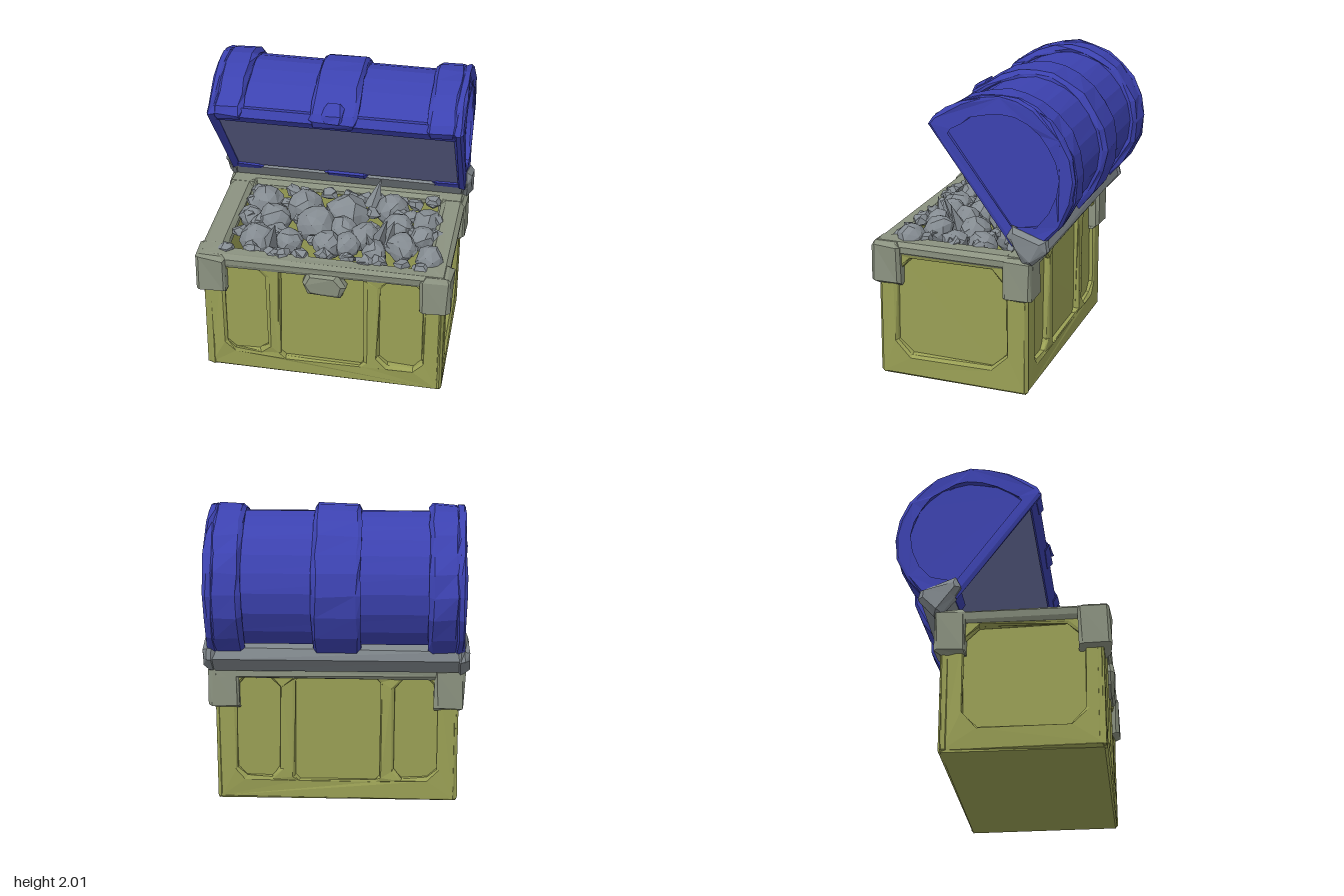
import * as THREE from 'three';

const paint = (color) => new THREE.MeshStandardMaterial({ color, flatShading: true, side: THREE.DoubleSide });

// Repeatable noise from a position, so touching corners move together
const noise = (x, y, z, k) => {
  const s = Math.sin(Math.round(x * 500) * 12.9898 + Math.round(y * 500) * 78.233 + Math.round(z * 500) * 37.719 + k * 4.1) * 43758.5453;
  return (s - Math.floor(s)) * 2 - 1;
};

// Roughens a geometry for the hand-hewn look
function chip(geo, amount) {
  const p = geo.attributes.position;
  for (let i = 0; i < p.count; i++) {
    const x = p.getX(i), y = p.getY(i), z = p.getZ(i);
    const dy = y < 0.01 ? 0 : noise(x, y, z, 2) * amount;
    p.setXYZ(i, x + noise(x, y, z, 1) * amount, y + dy, z + noise(x, y, z, 3) * amount);
  }
  geo.computeVertexNormals();
  return geo;
}

const toShape = (pts) => new THREE.Shape(pts.map(([x, y]) => new THREE.Vector2(x, y)));

function extrude(shape, depth, bevel) {
  const geo = new THREE.ExtrudeGeometry(shape, {
    depth: depth - 2 * bevel, bevelEnabled: bevel > 0, bevelThickness: bevel,
    bevelSize: bevel, bevelOffset: -bevel, bevelSegments: 1,
  });
  return geo.translate(0, 0, bevel);
}

// Rectangle outline with cut corners
const cutRect = (x0, y0, x1, y1, c) => [
  [x0 + c, y0], [x1 - c, y0], [x1, y0 + c], [x1, y1 - c],
  [x1 - c, y1], [x0 + c, y1], [x0, y1 - c], [x0, y0 + c],
];

function framed(outline, holes) {
  const shape = toShape(outline);
  shape.holes = holes.map(toShape);
  return shape;
}

export function createModel() {
  const model = new THREE.Group();
  const bodyMat = paint(0x9aa055), rimMat = paint(0x8b9280), floorMat = paint(0xb0b81c);
  const lidMat = paint(0x3c42b0), liningMat = paint(0x6a70a0), hingeMat = paint(0x80878c), lootMat = paint(0x858c92);

  const add = (parent, name, geo, mat, rough = 0.008) => {
    const mesh = new THREE.Mesh(chip(geo, rough), mat);
    mesh.name = name;
    parent.add(mesh);
  };

  // ---------- Chest body ----------
  const body = new THREE.Group();
  body.name = 'body';
  model.add(body);

  // Upright ring: outline in x and z, raised from y0 to y1
  const ring = (x, zBack, zFront, ix, izBack, izFront, y0, y1, bevel) =>
    extrude(framed(cutRect(-x, -zFront, x, -zBack, 0.03), [cutRect(-ix, -izFront, ix, -izBack, 0.03)]), y1 - y0, bevel)
      .rotateX(-Math.PI / 2).translate(0, y0, 0);

  add(body, 'innerWalls', ring(0.765, -0.34, 0.61, 0.69, -0.27, 0.55, 0.0, 0.9, 0), bodyMat, 0.003);
  add(body, 'rim', ring(0.83, -0.405, 0.68, 0.675, -0.27, 0.555, 0.86, 0.95, 0.025), rimMat);
  add(body, 'base', new THREE.BoxGeometry(1.56, 0.03, 0.98).translate(0, 0.015, 0.135), bodyMat, 0);
  add(body, 'floor', new THREE.BoxGeometry(1.4, 0.02, 0.84).translate(0, 0.04, 0.14), floorMat, 0);

  // Front and back frames, each with three sunken panels
  const longFrame = () => extrude(framed(cutRect(-0.805, 0, 0.805, 0.9, 0.015), [
    cutRect(-0.67, 0.16, -0.38, 0.86, 0.06),
    cutRect(-0.29, 0.14, 0.28, 0.87, 0.03),
    cutRect(0.38, 0.16, 0.67, 0.86, 0.06),
  ]), 0.06, 0.015);
  add(body, 'frontFrame', longFrame().translate(0, 0, 0.595), bodyMat);
  add(body, 'backFrame', longFrame().translate(0, 0, -0.38), bodyMat);

  // Corner cap that flares upward, with its outer corner towards +x and +z
  const cornerCap = () => {
    const geo = extrude(toShape(cutRect(-0.1, -0.1, 0.1, 0.1, 0.02)), 0.3, 0.025).rotateX(-Math.PI / 2);
    const p = geo.attributes.position;
    for (let i = 0; i < p.count; i++) {
      const inset = p.getY(i) < 0.01 ? 0.025 : 0;
      p.setX(i, p.getX(i) - inset);
      p.setZ(i, p.getZ(i) - inset);
    }
    return geo;
  };

  // Side frames, each with one sunken panel, and the corner caps beside them
  for (const s of [1, -1]) {
    const frame = extrude(framed(cutRect(-0.65, 0, 0.375, 0.9, 0.015),
      [cutRect(-0.53, 0.16, 0.23, 0.84, 0.1)]), 0.06, 0.015).rotateY(Math.PI / 2);
    add(body, s > 0 ? 'leftFrame' : 'rightFrame', frame.translate(s > 0 ? 0.75 : -0.81, 0, 0), bodyMat);
    const turns = s > 0 ? [0, Math.PI / 2] : [-Math.PI / 2, Math.PI];
    turns.forEach((turn, i) => add(body, 'cornerCap',
      cornerCap().rotateY(turn).translate(s * 0.748, 0.65, i === 0 ? 0.595 : -0.315), rimMat));
  }

  // Lock plate with a sloping underside
  const lock = extrude(toShape([[-0.13, 0.8], [-0.1, 0.71], [0.12, 0.7], [0.16, 0.8], [0.1, 0.89], [-0.1, 0.89]]), 0.09, 0.025);
  add(body, 'lock', lock.translate(0, 0, 0.595), rimMat);

  // ---------- Lid ----------
  const lid = new THREE.Group();
  lid.name = 'lid';
  model.add(lid);

  // Arc of the lid as [z, y], from the front lip over the top to the hinge
  const arc = [[0.27, 1.78], [0.24, 1.83], [0.15, 1.89], [0.05, 1.945], [-0.08, 1.985], [-0.2, 2.0], [-0.31, 1.98],
    [-0.42, 1.935], [-0.52, 1.86], [-0.6, 1.76], [-0.66, 1.64], [-0.69, 1.5], [-0.67, 1.35], [-0.6, 1.2], [-0.5, 1.08], [-0.28, 1.04]];
  const scaled = (pts, k, cz, cy) => pts.map(([z, y]) => [cz + (z - cz) * k, cy + (y - cy) * k]);
  const flip = (pts) => pts.map(([z, y]) => [-z, y]);
  // Extrudes a [z, y] outline from x0 to x1
  const across = (outline, x0, x1, bevel, holes = []) =>
    extrude(framed(flip(outline), holes.map(flip)), x1 - x0, bevel).rotateY(Math.PI / 2).translate(x0, 0, 0);
  // Curved strap that follows the arc
  const strap = (x0, x1) => across([...arc, ...scaled(arc, 0.87, -0.005, 1.41).reverse()], x0, x1, 0.025);

  add(lid, 'barrel', across(scaled(arc, 0.9, -0.24, 1.57), -0.79, 0.79, 0), lidMat, 0.003);
  add(lid, 'middleStrap', strap(-0.16, 0.15), lidMat);
  add(lid, 'frontLip', across([[0.25, 1.765], [0.225, 1.82], [0.13, 1.8], [0.2, 1.7]], -0.8, 0.8, 0), lidMat, 0.004);
  // Lining set just behind the mouth of the lid
  add(lid, 'lining', across([[0.19, 1.705], [0.15, 1.72], [-0.31, 1.1], [-0.275, 1.08]], -0.785, 0.785, 0), liningMat, 0.002);
  for (const s of [1, -1]) {
    const span = (a, b) => (s > 0 ? [a, b] : [-b, -a]);
    add(lid, 'endStrap', strap(...span(0.6, 0.8)), lidMat);
    add(lid, 'endFrame', across(arc, ...span(0.775, 0.835), 0.015, [scaled(arc, 0.79, -0.27, 1.54)]), lidMat);
    // Hinge knuckles
    add(lid, 'hingeKnuckle', across([[-0.29, 1.04], [-0.36, 0.93], [-0.42, 0.92], [-0.52, 1.03],
      [-0.51, 1.1], [-0.28, 1.17], [-0.25, 1.1]], ...span(0.78, 0.87), 0.03), hingeMat);
  }
  // Ledge along the back edge, and the clasp on the front lip
  add(lid, 'hingeLedge', across([[-0.28, 1.06], [-0.36, 0.94], [-0.42, 0.93], [-0.51, 1.03],
    [-0.49, 1.1], [-0.36, 1.12]], -0.82, 0.82, 0.015), hingeMat);
  add(lid, 'clasp', across([[0.28, 1.79], [0.265, 1.84], [0.18, 1.885], [0.16, 1.76]], -0.07, 0.06, 0.02), lidMat);

  // ---------- Treasure ----------
  const loot = new THREE.Group();
  loot.name = 'treasure';
  model.add(loot);

  // Large nuggets: x, y, z, radius
  const nuggets = [
    [-0.49, 0.92, 0.39, 0.12], [-0.27, 0.94, 0.41, 0.09], [-0.01, 0.95, 0.42, 0.1], [0.12, 0.95, 0.4, 0.09],
    [0.31, 0.94, 0.44, 0.08], [0.48, 0.95, 0.36, 0.1], [0.68, 0.95, 0.47, 0.095], [-0.13, 0.95, 0.2, 0.13],
    [0.22, 0.94, 0.26, 0.1], [-0.42, 0.94, 0.17, 0.11], [0.42, 0.93, 0.12, 0.11], [0.05, 0.92, 0.0, 0.15],
    [-0.25, 0.92, -0.03, 0.13], [-0.53, 0.92, -0.06, 0.12], [0.35, 0.92, -0.11, 0.12], [0.6, 0.92, 0.0, 0.1],
    [0.06, 0.93, 0.21, 0.1], [0.6, 0.92, 0.2, 0.09], [-0.6, 0.91, 0.13, 0.08], [-0.38, 0.91, 0.28, 0.07],
  ];
  for (const [x, y, z, r] of nuggets) {
    const geo = new THREE.IcosahedronGeometry(r, 1).rotateY(x * 9).translate(x, y, z);
    add(loot, 'nugget', geo, lootMat, r * 0.1);
  }
  // Small chips in a loose grid
  for (let i = 0; i < 55; i++) {
    const x = -0.63 + (i % 11) * 0.127 + noise(i, 1, 2, 5) * 0.04;
    const z = 0.55 - Math.floor(i / 11) * 0.185 + noise(i, 3, 4, 6) * 0.03;
    const geo = new THREE.DodecahedronGeometry(0.055).rotateX(i).scale(1.1, 0.7, 0.9).translate(x, 0.945, z);
    add(loot, 'chip', geo, lootMat, 0.012);
  }
  // Pointed shards: base x, z, then tip x, y, z
  const shards = [
    [-0.4, 0.43, -0.33, 1.15, 0.54], [0.3, 0.28, 0.38, 1.16, 0.37], [0.36, 0.25, 0.42, 1.11, 0.3],
    [0.31, 0.4, 0.26, 1.1, 0.46], [-0.1, 0.12, -0.06, 1.09, 0.17], [0.2, -0.14, 0.25, 1.1, -0.21],
  ];
  for (const [bx, bz, tx, ty, tz] of shards) {
    const base = new THREE.Vector3(bx, 0.9, bz), dir = new THREE.Vector3(tx, ty, tz).sub(base);
    const geo = new THREE.ConeGeometry(0.06, dir.length(), 4).translate(0, dir.length() / 2, 0);
    geo.applyQuaternion(new THREE.Quaternion().setFromUnitVectors(new THREE.Vector3(0, 1, 0), dir.normalize()));
    add(loot, 'shard', geo.translate(base.x, base.y, base.z), lootMat, 0.004);
  }

  return model;
}
